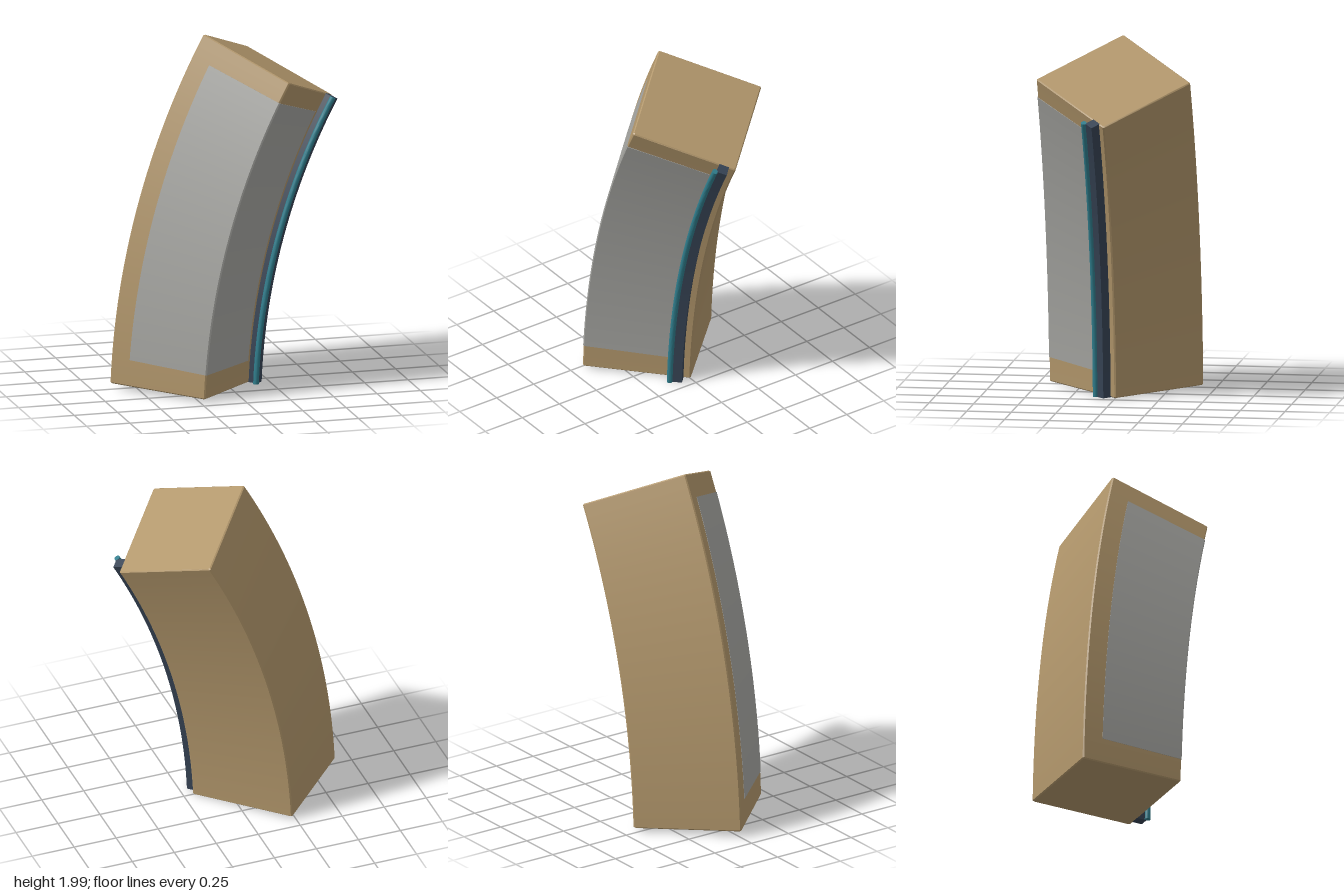
import * as THREE from 'three';
import { toCreasedNormals } from 'three/addons/utils/BufferGeometryUtils.js';

// Every part follows one arc in the xy plane; sections are [radial offset, z], counter-clockwise
const CX = 3.87, CY = -0.151, RADIUS = 4.1;
const START = THREE.MathUtils.degToRad(2.36), END = THREE.MathUtils.degToRad(28.4);
const SEGMENTS = 48;

function sweep(section, from, to, bevel = 0) {
  const n = section.length;
  const rings = [];
  for (let i = 0; i <= SEGMENTS; i++) {
    const inset = bevel / RADIUS;
    rings.push({ a: THREE.MathUtils.lerp(from + inset, to - inset, i / SEGMENTS), s: 1 });
  }
  if (bevel) {
    rings.unshift({ a: from, s: 1 - bevel / 0.3 });
    rings.push({ a: to, s: 1 - bevel / 0.3 });
  }
  const positions = [], index = [];
  for (const { a, s } of rings) {
    for (const [d, z] of section) {
      const r = RADIUS + d * s;
      positions.push(CX - r * Math.cos(a), CY + r * Math.sin(a), z * s);
    }
  }
  for (let i = 0; i < rings.length - 1; i++) {
    for (let j = 0; j < n; j++) {
      const a = i * n + j, b = i * n + (j + 1) % n;
      index.push(a, b, b + n, a, b + n, a + n);
    }
  }
  // End caps
  const last = (rings.length - 1) * n;
  const contour = section.map(([d, z]) => new THREE.Vector2(d, z));
  for (const [a, b, c] of THREE.ShapeUtils.triangulateShape(contour, [])) {
    index.push(a, c, b, last + a, last + b, last + c);
  }
  const geometry = new THREE.BufferGeometry();
  geometry.setAttribute('position', new THREE.Float32BufferAttribute(positions, 3));
  geometry.setIndex(index);
  return toCreasedNormals(geometry, 0.5);
}

function material(name, color) {
  const m = new THREE.MeshStandardMaterial({ color });
  m.name = name;
  return m;
}

export function createModel() {
  const group = new THREE.Group();
  group.name = 'curvedBeam';
  const add = (name, geometry, mat) => {
    const mesh = new THREE.Mesh(geometry, mat);
    mesh.name = name;
    group.add(mesh);
  };
  const tan = material('tan', 0xb0956a);
  const grey = material('grey', 0xa3a39f);
  const navy = material('navy', 0x364354);
  const teal = material('teal', 0x2f7d8c);

  // Diamond-section body with lightly chamfered edges
  const w = 0.42, h = 0.43, c = 0.005;
  add('body', sweep([
    [w, -c], [w, c], [c, h], [-c, h], [-w, c], [-w, -c], [-c, -h], [c, -h],
  ], START, END, 0.006), tan);

  // Thin panel wrapped around the front edge
  const panelStart = THREE.MathUtils.degToRad(4.3), panelEnd = THREE.MathUtils.degToRad(26.65);
  const t = 0.004;
  add('frontPanel', sweep([
    [0.34, 0.081], [0.34 + t, 0.081 + t], [c, h + t], [-c, h + t],
    [-0.34 - t, 0.081 + t], [-0.34, 0.081], [-c, h - t], [c, h - t],
  ], panelStart, panelEnd), grey);

  // Square rail seated on the inner front face
  add('rail', sweep([
    [-0.352, 0.064], [-0.395, 0.106], [-0.434, 0.065], [-0.392, 0.024],
  ], START, END), navy);

  // Round strip along the front corner of the rail
  const strip = [];
  for (let i = 0; i < 16; i++) {
    const a = i / 16 * Math.PI * 2;
    strip.push([-0.387 + 0.016 * Math.cos(a), 0.115 + 0.016 * Math.sin(a)]);
  }
  add('strip', sweep(strip, START, END), teal);

  return group;
}
